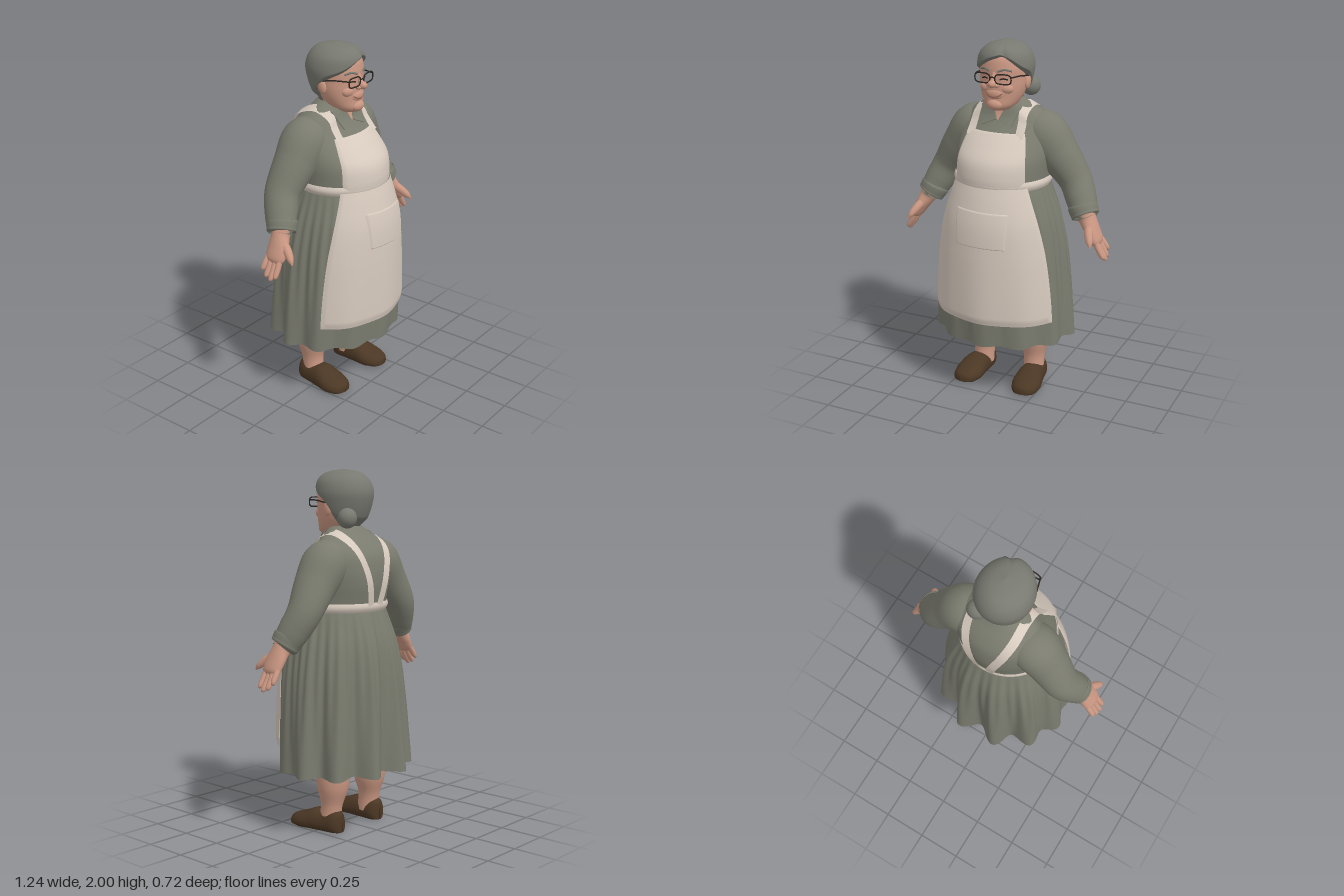
import * as THREE from 'three';
import { ParametricGeometry } from 'three/addons/geometries/ParametricGeometry.js';

const paint = (name, color, side = THREE.FrontSide) =>
  Object.assign(new THREE.MeshStandardMaterial({ color, side }), { name });
const V = (x, y, z) => new THREE.Vector3(x, y, z);
const { sin, cos, abs, min, max, PI } = Math;

// smooth interpolation through rows of numbers, keyed by index or by given keys
function spline(rows, keys = rows.map((_, i) => i)) {
  const f = new THREE.CubicInterpolant(keys, rows.flat(), rows[0].length);
  return t => [...f.evaluate(t)];
}
// body-like section [y, halfWidth, zFront, zBack] at an angle (0 = front, +x at PI/2)
function ring([y, rx, zf, zb], a, off = 0) {
  return V((rx + off) * sin(a), y, (zf + zb) / 2 + ((zf - zb) / 2 + off) * cos(a));
}
const byHeight = rows => spline(rows, rows.map(r => r[0]));
// point on a body surface at a given x and y, on its front (1) or back (-1)
function on(surf, x, y, off, face = 1) {
  const s = surf(y), a = Math.asin(max(-1, min(1, x / (s[1] + off))));
  return ring(s, face > 0 ? a : PI - a, off);
}

export function createModel() {
  const model = new THREE.Group();
  model.name = 'apronWoman';
  const dress = paint('dressGreen', 0x7b7c6f, THREE.DoubleSide);
  const hairGrey = paint('hairGrey', 0x787970);
  const cloth = paint('apronCream', 0xd7cabe, THREE.DoubleSide);
  const skin = paint('skin', 0xca9782, THREE.DoubleSide);
  const lip = paint('lip', 0x9b6758);
  const leather = paint('shoeBrown', 0x4b3724, THREE.DoubleSide);
  const dark = paint('glassesDark', 0x2b2622);

  const add = (name, geo, mat) => {
    const m = new THREE.Mesh(geo, mat);
    m.name = name;
    model.add(m);
    return m;
  };
  const sheet = (name, mat, nu, nv, fn) =>
    add(name, new ParametricGeometry((u, v, p) => p.copy(fn(u, v)), nu, nv), mat);
  const ball = (name, mat, pos, size) => {
    const m = add(name, new THREE.SphereGeometry(1, 24, 16), mat);
    m.position.set(...pos);
    m.scale.set(...size);
    return m;
  };
  const wire = (name, mat, pts, r) =>
    add(name, new THREE.TubeGeometry(new THREE.CatmullRomCurve3(pts.map(p => V(...p))), 16, r, 6), mat);
  // limb through rows [x, y, z, radius, radiusAlongZ]; s mirrors it
  function limb(name, mat, rows, s = 1, nu = 20, nv = 28) {
    const f = spline(rows), n = rows.length - 1;
    const at = t => { const r = f(t); return V(r[0] * s, r[1], r[2]); };
    return sheet(name, mat, nu, nv, (u, v) => {
      const t = v * n, r = f(t), a = u * 2 * PI;
      const dir = at(min(n, t + 0.01)).sub(at(max(0, t - 0.01))).normalize();
      const e1 = dir.clone().cross(V(0, 0, 1)).normalize(), e2 = dir.clone().cross(e1);
      return at(t).addScaledVector(e1, cos(a) * max(0.001, r[3]))
        .addScaledVector(e2, sin(a) * max(0.001, r[4] ?? r[3]));
    });
  }
  // thin cloth plate lying on the front of a body surface, with rolled edges
  const plate = (name, mat, surf, xy, off, base = 0.5, n = 24) => sheet(name, mat, n, n, (u, v) => {
    const d = min(1, 30 * min(u, 1 - u, v, 1 - v));
    return on(surf, ...xy(u, v), off * (base + (1 - base) * d));
  });
  const lerp = THREE.MathUtils.lerp;
  // quad from bottom-left, bottom-right, top-right, top-left corners
  const quad = (a, b, c, d) => (u, v) => [0, 1].map(i => lerp(lerp(a[i], b[i], u), lerp(d[i], c[i], u), v));

  // pleated skirt, with deep folds at the back
  const skirt = byHeight([
    [0.34, 0.39, 0.326, -0.328], [0.5, 0.384, 0.333, -0.324], [0.7, 0.371, 0.334, -0.316],
    [0.9, 0.35, 0.33, -0.302], [1.05, 0.32, 0.32, -0.279], [1.18, 0.28, 0.292, -0.24], [1.26, 0.254, 0.268, -0.212]]);
  const skirtPoint = (a, v) => {
    const k = 1 - v, wave = cos(11 * (a - PI));
    const fold = -wave * k * (0.007 + 0.036 * ((1 - cos(a)) / 2) ** 1.4);
    const p = ring(skirt(0.34 + 0.92 * v), a, fold + 0.005 * sin(36 * a) * sin(PI * v ** 1.5));
    p.y += 0.006 * k * wave;
    return p;
  };
  sheet('skirt', dress, 180, 36, (u, v) => skirtPoint(u * 2 * PI, v));
  // lining that closes the skirt underneath
  sheet('skirtLining', dress, 120, 8, (u, v) => {
    const p = skirtPoint(u * 2 * PI, 0), r = max(0.002, v);
    return V(p.x * r, p.y + 0.11 * (1 - v ** 3), p.z * r);
  });

  // bodice
  const bodice = byHeight([
    [1.22, 0.258, 0.275, -0.215], [1.3, 0.262, 0.276, -0.23], [1.38, 0.27, 0.256, -0.243],
    [1.46, 0.272, 0.195, -0.241], [1.54, 0.258, 0.126, -0.222], [1.6, 0.222, 0.088, -0.18],
    [1.65, 0.15, 0.074, -0.132], [1.69, 0.09, 0.066, -0.1]]);
  sheet('bodice', dress, 64, 36, (u, v) => ring(bodice(lerp(1.22, 1.69, v)), u * 2 * PI));
  limb('neck', skin, [[0, 1.56, -0.02, 0.07], [0, 1.64, -0.005, 0.074], [0, 1.74, 0.01, 0.08]]);
  plate('neckOpening', skin, bodice, quad([-0.003, 1.58], [0.003, 1.58], [0.05, 1.685], [-0.05, 1.685]), 0.007);

  // apron: skirt panel, pocket, bib, waistband
  sheet('apronSkirt', cloth, 48, 36, (u, v) => {
    const y = lerp(0.48, 1.25, v), d = min(1, 30 * min(u, 1 - u, v));
    const a = (2 * u - 1) * (1.11 - 0.2 * v * v);
    return ring(skirt(y), a, 0.016 + 0.006 * d + 0.003 * cos(9 * a) * (1 - v));
  });
  plate('apronPocket', cloth, skirt, quad([-0.14, 0.935], [0.15, 0.93], [0.158, 1.125], [-0.148, 1.135]), 0.039, 0.8);
  plate('apronBib', cloth, bodice, (u, v) =>
    [(2 * u - 1) * (0.2 + 0.03 * v - 0.066 * v * v), 1.25 + 0.272 * v], 0.015, 0.4);
  sheet('waistband', cloth, 72, 8, (u, v) =>
    ring(bodice(lerp(1.23, 1.28, v)), u * 2 * PI, 0.006 + 0.008 * sin(PI * v)));

  for (const s of [1, -1]) {
    const side = s > 0 ? 'left' : 'right';
    // apron strap over the shoulder, closing in toward the waist at the back
    const strap = new THREE.CatmullRomCurve3([
      on(bodice, 0.143, 1.5, 0.014), on(bodice, 0.14, 1.57, 0.015), on(bodice, 0.135, 1.62, 0.016),
      V(0.135, 1.66, -0.03), on(bodice, 0.134, 1.623, 0.016, -1), on(bodice, 0.112, 1.55, 0.014, -1),
      on(bodice, 0.067, 1.41, 0.012, -1), on(bodice, 0.034, 1.26, 0.012, -1)]);
    sheet(side + 'Strap', cloth, 4, 40, (u, v) => {
      const p = strap.getPoint(v), w = (u - 0.5) * 0.047;
      return V(s * (p.x + w), p.y - 0.6 * w * sin(PI * min(1, v * 1.3)), p.z);
    });
    // collar flap
    plate(side + 'Collar', dress, bodice,
      quad([s * 0.005, 1.585], [s * 0.085, 1.55], [s * 0.118, 1.65], [s * 0.05, 1.69]), 0.017, 0.4, 26);

    // sleeve and rolled cuff
    limb(side + 'Sleeve', dress, [
      [0.1, 1.545, -0.05, 0.08, 0.1], [0.2, 1.493, -0.055, 0.13, 0.132], [0.292, 1.385, -0.06, 0.114, 0.118],
      [0.383, 1.255, -0.07, 0.091, 0.1], [0.435, 1.155, -0.04, 0.084, 0.09], [0.47, 1.085, -0.01, 0.072, 0.08]], s, 28, 40);
    limb(side + 'Cuff', dress, [
      [0.45, 1.125, -0.022, 0.07, 0.078], [0.453, 1.118, -0.02, 0.081, 0.087], [0.468, 1.088, -0.011, 0.078, 0.083],
      [0.478, 1.07, -0.005, 0.071, 0.075], [0.477, 1.072, -0.005, 0.02, 0.02]], s, 28, 24);

    // hand
    limb(side + 'Palm', skin, [
      [0.465, 1.1, -0.005, 0.056, 0.058], [0.492, 1.055, 0, 0.048, 0.052], [0.525, 1.0, 0.01, 0.037, 0.063],
      [0.555, 0.945, 0.012, 0.027, 0.058], [0.566, 0.922, 0.012, 0.006, 0.03]], s);
    [[-0.034, -0.04, 0.88], [-0.008, -0.01, 0.852], [0.019, 0.021, 0.84], [0.046, 0.05, 0.856]].forEach(([z0, z1, y], i) =>
      limb(side + 'Finger' + (i + 1), skin, [
        [0.552, 0.955, z0, 0.016], [0.578, (0.945 + y) / 2 + 0.005, (z0 + z1) / 2, 0.0165],
        [0.606 - (y - 0.84) * 0.3, y + 0.012, z1, 0.013], [0.61 - (y - 0.84) * 0.3, y, z1, 0.002]], s, 10, 14));
    limb(side + 'Thumb', skin, [
      [0.505, 1.035, 0.025, 0.022], [0.525, 1.0, 0.072, 0.024], [0.545, 0.965, 0.11, 0.018],
      [0.556, 0.942, 0.129, 0.003]], s, 10, 14);

    // leg
    limb(side + 'Leg', skin, [
      [0.15, 0.5, -0.06, 0.1], [0.151, 0.36, -0.06, 0.1], [0.156, 0.25, -0.06, 0.089],
      [0.16, 0.15, -0.055, 0.062], [0.162, 0.05, -0.045, 0.06, 0.07]], s);
    // shoe, built from sections [z, halfWidth, height]
    const last = spline([[-0.137, 0, 0.06], [-0.126, 0.038, 0.102], [-0.092, 0.06, 0.124], [-0.03, 0.066, 0.112],
      [0.04, 0.076, 0.115], [0.11, 0.084, 0.088], [0.17, 0.068, 0.068], [0.2, 0.038, 0.052], [0.21, 0, 0.03]]);
    const shoe = sheet(side + 'Shoe', leather, 28, 36, (u, v) => {
      const [z, w, h] = last(v * 8), a = u * 2 * PI, toe = 0.012 * max(0, z / 0.2) ** 2;
      const y = h * (0.36 + (sin(a) > 0 ? 0.64 : 0.5) * sin(a));
      return V(max(w, 0.0002) * Math.sign(cos(a)) * abs(cos(a)) ** 0.8, max(toe, y), z);
    });
    shoe.position.x = s * 0.173;
    shoe.rotation.y = s * 0.09;

    // ear, cheek, eye, brow and spectacle half
    ball(side + 'Ear', skin, [s * 0.13, 1.785, 0.0], [0.016, 0.042, 0.027]).rotation.x = -0.2;
    ball(side + 'Cheek', skin, [s * 0.05, 1.76, 0.108], [0.046, 0.034, 0.034]);
    ball(side + 'Nostril', skin, [s * 0.02, 1.782, 0.155], [0.015, 0.013, 0.018]);
    wire(side + 'Eye', dark, [[s * 0.034, 1.812, 0.149], [s * 0.052, 1.817, 0.143], [s * 0.074, 1.811, 0.13]], 0.004);
    wire(side + 'Brow', hairGrey, [[s * 0.022, 1.853, 0.149], [s * 0.055, 1.864, 0.139], [s * 0.088, 1.855, 0.113]], 0.006);
    const rim = Array.from({ length: 24 }, (_, i) => {
      const a = i / 24 * 2 * PI, r = p => Math.sign(p) * abs(p) ** 0.6, x = 0.06 + 0.045 * r(cos(a));
      return V(s * x, 1.818 + 0.026 * r(sin(a)), 0.167 - x * 0.08);
    });
    add(side + 'Rim', new THREE.TubeGeometry(new THREE.CatmullRomCurve3(rim, true), 48, 0.0038, 6, true), dark);
    wire(side + 'Temple', dark, [[s * 0.105, 1.83, 0.159], [s * 0.127, 1.828, 0.08], [s * 0.137, 1.815, 0.0]], 0.004);
  }
  wire('glassesBridge', dark, [[-0.016, 1.822, 0.166], [0, 1.828, 0.174], [0.016, 1.822, 0.166]], 0.004);

  // head and face
  const head = spline([[1.632, 0.004, 0.095, 0.08], [1.64, 0.052, 0.132, 0.01], [1.665, 0.086, 0.152, -0.04],
    [1.71, 0.112, 0.15, -0.08], [1.76, 0.126, 0.15, -0.105], [1.81, 0.13, 0.148, -0.12], [1.87, 0.13, 0.148, -0.13],
    [1.93, 0.108, 0.13, -0.115], [1.965, 0.06, 0.07, -0.07]]);
  sheet('head', skin, 40, 36, (u, v) => ring(head(v * 8), u * 2 * PI));
  ball('noseTip', skin, [0, 1.79, 0.169], [0.022, 0.021, 0.027]);
  limb('noseBridge', skin, [[0, 1.85, 0.138, 0.012], [0, 1.815, 0.153, 0.014], [0, 1.79, 0.166, 0.018]], 1, 12, 10);
  ball('chin', skin, [0, 1.673, 0.132], [0.046, 0.032, 0.034]);
  ball('muzzle', skin, [0, 1.73, 0.128], [0.054, 0.036, 0.03]);
  wire('mouth', lip, [[-0.046, 1.736, 0.142], [-0.022, 1.722, 0.154], [0, 1.719, 0.158], [0.022, 1.722, 0.154], [0.046, 1.736, 0.142]], 0.004);

  // hair shell with an off-centre parting, low at the nape
  const hair = spline([[1.66, 0.088, 0.1, -0.095], [1.74, 0.13, 0.135, -0.14], [1.82, 0.15, 0.155, -0.168],
    [1.88, 0.153, 0.16, -0.174], [1.94, 0.131, 0.15, -0.15], [1.98, 0.078, 0.105, -0.1], [1.998, 0.0005, 0.0005, -0.0005]]);
  const hairline = spline([[3.75], [3.35], [2.5], [1.8], [0.6], [0.2]], [0, 0.45, 0.95, 1.4, 1.9, PI]);
  sheet('hair', hairGrey, 72, 36, (u, v) => {
    const a = (2 * u - 1) * PI, t0 = hairline(abs(a - 0.25 * Math.exp(-a * a)))[0];
    const parting = 0.014 * Math.exp(-(((a - 0.4) / 0.16) ** 2)) * (1 - v);
    const tuck = 0.024 * max(0, 1 - v * 9);
    return ring(hair(t0 + (6 - t0) * v), a, -(parting + tuck) * min(1, 4 * (1 - v)));
  });
  ball('hairBun', hairGrey, [0.098, 1.735, -0.115], [0.054, 0.055, 0.052]);

  return model;
}
